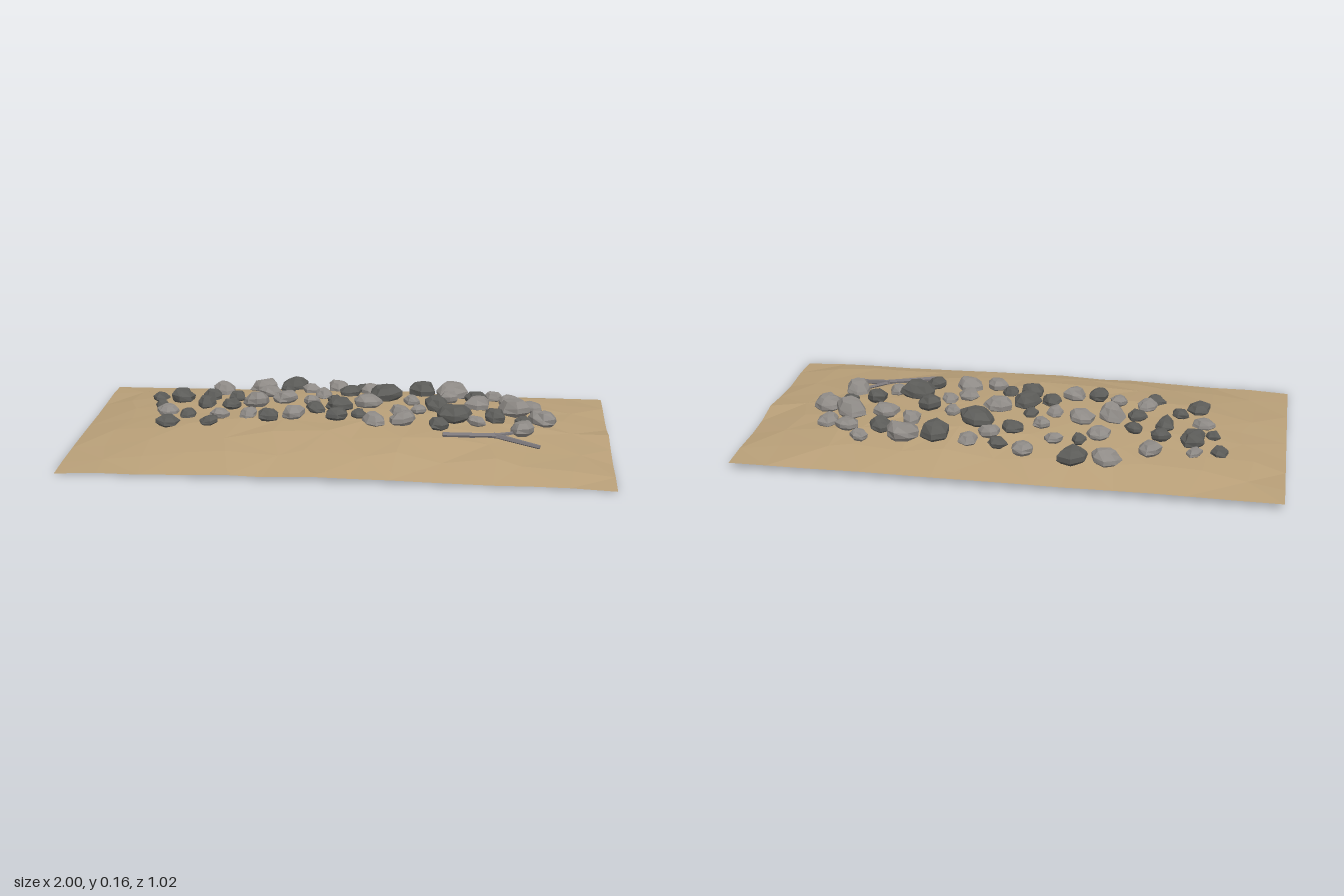
import * as THREE from 'three';

const HALF_Z = 0.512;

const material = (name, color, side = THREE.FrontSide) => {
  const m = new THREE.MeshStandardMaterial({ color, flatShading: true, side });
  m.name = name;
  return m;
};

// Repeatable noise in 0..1
function seeded(seed) {
  let s = seed;
  return () => {
    s = (s * 16807) % 2147483647;
    return s / 2147483647;
  };
}

// Gentle mound with low borders and a small hump halfway along its left side
function moundHeight(x, z) {
  const t = Math.min(1, Math.abs(z) / HALF_Z);
  const u = Math.min(1, Math.abs(x));
  const front = 0.003 + 0.015 * (1 - u);
  const back = 0.025;
  const k = (z / HALF_Z + 1) / 2;
  const hump = 0.02 * Math.max(0, 1 - Math.abs(z) / 0.15) * Math.max(0, (x - 0.8) / 0.2);
  const border = back + (front - back) * k + hump;
  return border + 0.09 * (1 - u ** 2.4) * (1 - t ** 2.6);
}

// Faceted sheet of earth
function createGround(mat) {
  const rand = seeded(7753);
  const nx = 13, nz = 8;
  const geo = new THREE.PlaneGeometry(2, HALF_Z * 2, nx, nz).rotateX(-Math.PI / 2);
  const pos = geo.attributes.position;
  for (let i = 0; i < pos.count; i++) {
    const col = i % (nx + 1), row = Math.floor(i / (nx + 1));
    const edgeX = col === 0 || col === nx, edgeZ = row === 0 || row === nz;
    const x = pos.getX(i) + (edgeX ? 0 : (rand() - 0.5) * 0.08);
    const z = pos.getZ(i) + (edgeZ ? 0 : (rand() - 0.5) * 0.05);
    const rim = Math.max(Math.abs(x), Math.abs(z) / HALF_Z);
    const bump = (rand() - 0.5) * (edgeX || edgeZ ? 0.006 : 0.004 + 0.016 * rim);
    const y = edgeX && row === nz ? 0 : moundHeight(x, z) + bump;
    pos.setXYZ(i, x, Math.max(0, y), z);
  }
  // Flip every other cell's diagonal so the facets run both ways
  const index = geo.index;
  for (let c = 0; c < nx * nz; c++) {
    const row = Math.floor(c / nx), col = c % nx;
    if ((row + col) % 2) continue;
    const a = row * (nx + 1) + col, b = a + nx + 1;
    [a, b, b + 1, a, b + 1, a + 1].forEach((v, n) => index.setX(c * 6 + n, v));
  }
  geo.computeVertexNormals();
  const mesh = new THREE.Mesh(geo, mat);
  mesh.name = 'ground';
  return mesh;
}

// Chunky stone: a coarse lathe with jittered corners
const STONE_PROFILE = [[0, -0.2], [0.68, -0.17], [0.98, 0.15], [0.95, 0.52], [0.58, 0.94], [0, 1.02]]
  .map(([x, y]) => new THREE.Vector2(x, y));

function createStone(x, z, r, mat, rand) {
  const sides = 6 + Math.floor(rand() * 2);
  const rings = STONE_PROFILE.length;
  const geo = new THREE.LatheGeometry(STONE_PROFILE, sides);
  const pos = geo.attributes.position;
  const tiltX = (rand() - 0.5) * 0.3, tiltZ = (rand() - 0.5) * 0.3;
  const spokes = Array.from({ length: sides }, () => 0.88 + rand() * 0.26);
  const jitter = Array.from({ length: sides * rings }, () => rand() - 0.5);
  for (let i = 0; i < pos.count; i++) {
    const ring = i % rings, side = Math.floor(i / rings) % sides;
    const j = jitter[side * rings + ring];
    const pole = ring === 0 || ring === rings - 1;
    const k = spokes[side] * (1 + j * 0.2);
    const px = pos.getX(i) * k, pz = pos.getZ(i) * k;
    const py = pos.getY(i) + (pole ? 0 : j * 0.14) + px * tiltX + pz * tiltZ;
    pos.setXYZ(i, px, py, pz);
  }
  geo.computeVertexNormals();
  const mesh = new THREE.Mesh(geo, mat);
  mesh.scale.set(r * (0.92 + rand() * 0.2), r * (0.84 + rand() * 0.18), r * (0.97 + rand() * 0.2));
  mesh.rotation.y = rand() * Math.PI * 2;
  mesh.position.set(x, moundHeight(x, z), z);
  return mesh;
}

// Stone layouts: x, z, radius in hundredths
const LIGHT_STONES = [
  -67, -26, 3, -51, -29, 4.5, -36, -37, 5, -6, -36, 4.2, 15, -32, 3.3, 40, -31, 6,
  56, -32, 3.3, 63, -24, 4.4, 71, -20, 4, -32, -22, 4, -16, -28, 3.7, 8, -27, 3.8,
  -10, -18, 3.2, 39, -20, 3.9, 50, -14, 4.8, 64, -12, 5.4, 75, -5, 5.4, 25, -12, 3,
  28, -1, 3.3, 21, 3, 3.8, 8, -6, 5, -14, -8, 3.3, -24, -11, 4.6, -35, -6, 5,
  -69, -2, 3.8, -47, 7, 3.8, -36, 8, 3.2, -19, 9, 4.4, 12, 14, 4.3, 23, 12, 4.8,
  50, 7, 3.3, 67, 10, 4.9,
];
const DARK_STONES = [
  -76, -23, 3.5, -24, -38, 5, 4, -33, 3.3, 28, -29, 6.3, 49, -25, 3.8, -66, -18, 5,
  -54, -18, 3.8, -44, -15, 3.3, -25, -27, 2.9, 0, -23, 3.8, 14, -18, 5.4, 68, 0, 3.3,
  57, 0, 4.3, 35, -7, 5, 41, 4, 6.3, -2, -1, 4.8, -5, -10, 2.9, -55, -8, 4,
  -44, -4, 3.4, -73, -11, 3, -60, 4, 3.3, -66, 12, 4.3, -50, 14, 3.4, -28, 11, 3.9,
  -11, 2, 3.8, -2, 10, 4.3, 6, 8, 3.2, 36, 14, 3.9,
];

function createStones(name, list, mat, seed) {
  const group = new THREE.Group();
  const rand = seeded(seed);
  group.name = name;
  for (let i = 0; i < list.length; i += 3) {
    const stone = createStone(list[i] / 100, list[i + 1] / 100, list[i + 2] / 100, mat, rand);
    stone.name = 'stone';
    group.add(stone);
  }
  return group;
}

// Tapered twig section between two points on the ground
function createTwig(a, b, r0, r1, mat) {
  const [p, q] = [a, b].map(([x, z]) => new THREE.Vector3(x, moundHeight(x, z) + 0.005, z));
  const dir = q.clone().sub(p);
  const mesh = new THREE.Mesh(new THREE.CylinderGeometry(r1, r0, dir.length(), 5), mat);
  mesh.position.copy(p).add(q).multiplyScalar(0.5);
  mesh.quaternion.setFromUnitVectors(new THREE.Vector3(0, 1, 0), dir.normalize());
  mesh.name = 'twig';
  return mesh;
}

export function createModel() {
  const earth = material('earth', 0xb89f78, THREE.DoubleSide);
  const lightRock = material('light rock', 0x8f8b87);
  const darkRock = material('dark rock', 0x5c5c59);
  const wood = material('weathered wood', 0x7b777a);

  const model = new THREE.Group();
  model.name = 'rockyMound';
  model.add(createGround(earth));
  model.add(createStones('lightStones', LIGHT_STONES, lightRock, 911));
  model.add(createStones('darkStones', DARK_STONES, darkRock, 2203));

  // Forked branch lying on the front slope
  const branch = new THREE.Group();
  branch.name = 'forkedBranch';
  branch.add(createTwig([0.38, 0.22], [0.58, 0.178], 0.011, 0.011, wood));
  branch.add(createTwig([0.565, 0.176], [0.735, 0.226], 0.011, 0.008, wood));
  branch.add(createTwig([0.565, 0.182], [0.64, 0.125], 0.009, 0.006, wood));
  model.add(branch);
  return model;
}
